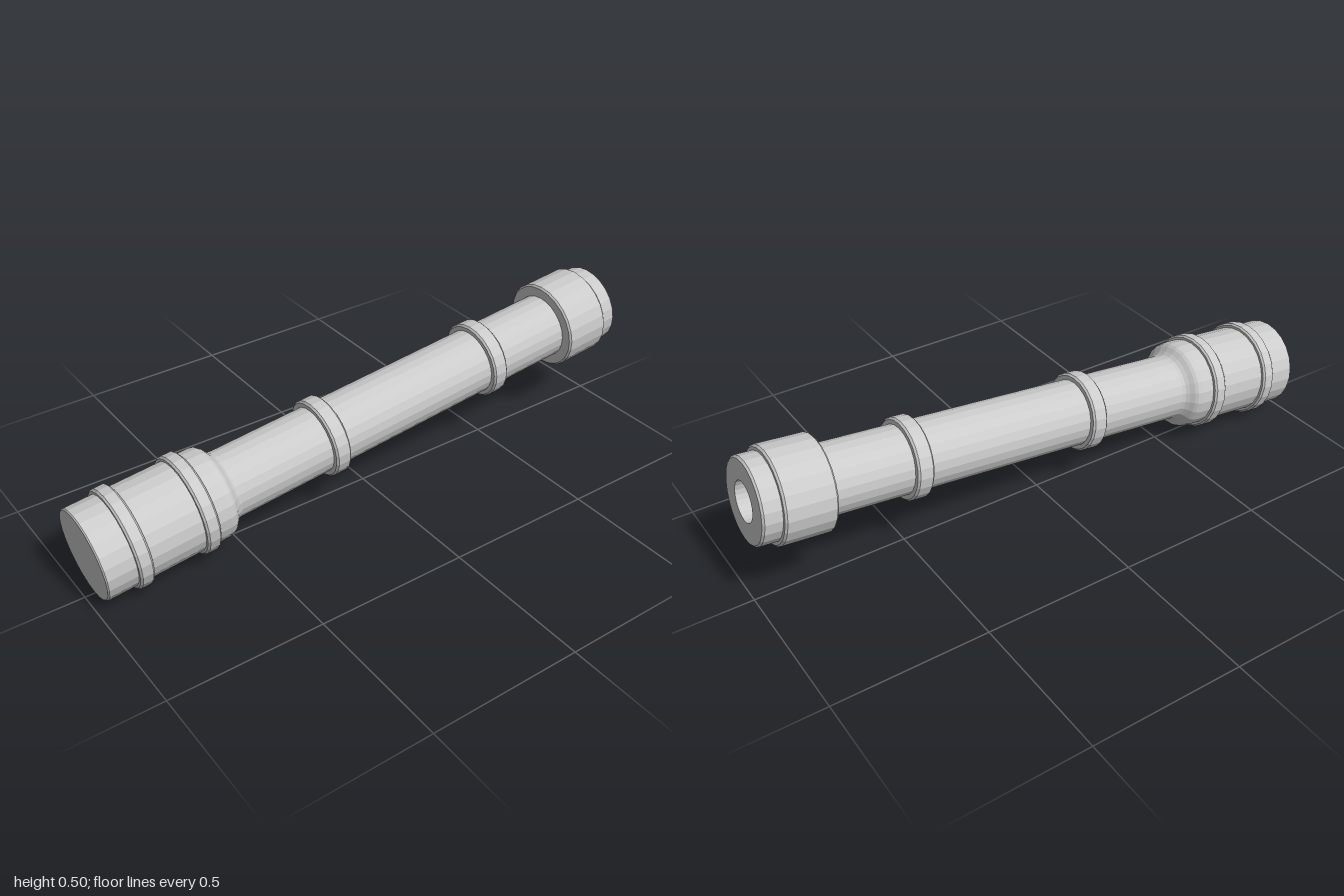
import * as THREE from 'three';

const SIDES = 24;
const TILT = THREE.MathUtils.degToRad(6);

export function createModel() {
  const model = new THREE.Group();
  model.name = 'handle';
  const material = new THREE.MeshStandardMaterial({ color: 0xcccccc, flatShading: true });

  // Turned part: [radius, position along the axis] pairs, running from back to front
  const turn = (name, points) => {
    const profile = points.map(([r, t]) => new THREE.Vector2(r, t));
    const mesh = new THREE.Mesh(new THREE.LatheGeometry(profile, SIDES), material);
    mesh.name = name;
    model.add(mesh);
  };

  // Raised ring with chamfered edges
  const ring = (name, inner, outer, middle, width) => {
    const a = middle - width / 2, b = middle + width / 2, c = 0.006;
    turn(name, [[inner, a], [outer - c, a], [outer, a + c], [outer, b - c], [outer - c, b], [inner, b]]);
  };

  // Long tube
  turn('shaft', [[0.11, -0.8], [0.11, 0.56]]);
  ring('shaftRingBack', 0.105, 0.13, -0.475, 0.055);
  ring('shaftRingFront', 0.105, 0.13, 0.163, 0.055);

  // Thick closed front end with a curved shoulder
  turn('base', [
    [0.11, 0.522], [0.114, 0.533], [0.123, 0.543], [0.137, 0.554], [0.144, 0.563], [0.148, 0.58],
    [0.148, 0.986], [0.144, 0.99], [0, 0.99],
  ]);
  ring('baseRingBack', 0.14, 0.162, 0.648, 0.046);
  ring('baseRingFront', 0.14, 0.162, 0.87, 0.046);

  // Collar around the back end
  turn('collar', [
    [0.1, -0.928], [0.144, -0.928], [0.15, -0.922], [0.15, -0.772], [0.144, -0.766], [0.1, -0.766],
  ]);

  // Open back end with its bore
  turn('socket', [
    [0, -0.65], [0.063, -0.65], [0.063, -0.988], [0.128, -0.988], [0.134, -0.982], [0.134, -0.9],
  ]);

  // Lay the axis along z, back end raised
  model.rotation.x = Math.PI / 2 + TILT;
  model.position.y = 0.2545;

  const root = new THREE.Group();
  root.add(model);
  return root;
}
